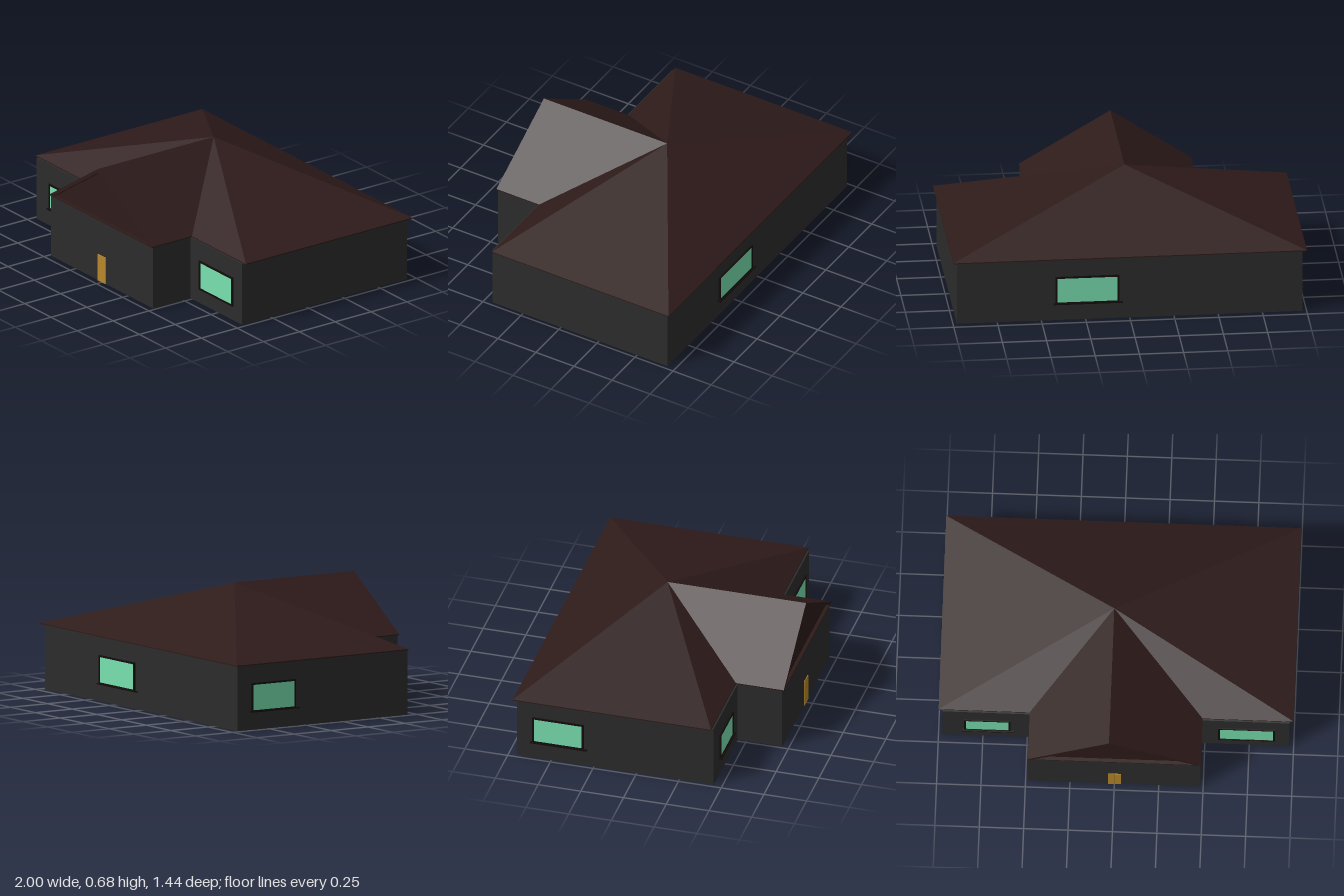
import * as THREE from 'three';

const mat = (color) => new THREE.MeshStandardMaterial({ color, flatShading: true, side: THREE.DoubleSide });

export function createModel() {
  const house = new THREE.Group();
  house.name = 'house';
  const wallMat = mat(0x2c2c2c);
  const roofMat = mat(0x2e1b1a);
  const trimMat = mat(0x130d0b);
  const glassMat = mat(0x78e0b0);
  const doorMat = mat(0xb8882a);

  const add = (name, geometry, material, parent = house) => {
    const mesh = new THREE.Mesh(geometry, material);
    mesh.name = name;
    parent.add(mesh);
    return mesh;
  };
  const box = (name, w, h, d, x, y, z, material, parent) =>
    add(name, new THREE.BoxGeometry(w, h, d), material, parent).position.set(x, y, z);

  // T-shaped floor plan: main block with a front wing
  const plan = (halfW, back, front, wingW, wingFront, y, height) => {
    const pts = [[-halfW, back], [-halfW, front], [-wingW, front], [-wingW, wingFront],
      [wingW, wingFront], [wingW, front], [halfW, front], [halfW, back]];
    const shape = new THREE.Shape(pts.map(([x, z]) => new THREE.Vector2(x, -z)));
    return new THREE.ExtrudeGeometry(shape, { depth: height, bevelEnabled: false })
      .rotateX(-Math.PI / 2).translate(0, y, 0);
  };
  add('walls', plan(0.978, -0.7, 0.45, 0.485, 0.71, 0, 0.37), wallMat);
  add('eaves', plan(1, -0.72, 0.44, 0.487, 0.72, 0.37, 0.006), roofMat);

  // Roof: four slopes meeting at one peak, with a ridge running out over the wing
  const e = 0.376, top = 0.68, px = -0.03;
  const P = {
    peak: [px, top, -0.09], ridge: [px, top, 0.72],
    bl: [-1, e, -0.72], br: [1, e, -0.72], fl: [-1, e, 0.44], fr: [1, e, 0.44],
    vl: [-0.487, e, 0.44], vr: [0.487, e, 0.44], gl: [-0.487, e, 0.72], gr: [0.487, e, 0.72],
  };
  const faces = [
    ['peak', 'br', 'bl'], ['peak', 'bl', 'fl'], ['peak', 'fr', 'br'],
    ['peak', 'fl', 'vl'], ['peak', 'vr', 'fr'],
    ['peak', 'vl', 'gl'], ['peak', 'gl', 'ridge'],
    ['peak', 'ridge', 'gr'], ['peak', 'gr', 'vr'],
  ];
  const roof = new THREE.BufferGeometry();
  roof.setAttribute('position', new THREE.Float32BufferAttribute(faces.flat().flatMap((k) => P[k]), 3));
  roof.computeVertexNormals();
  add('roof', roof, roofMat);

  // Gable end: recessed panel framed by barge boards
  const triangle = (cls, inset) => new cls([
    new THREE.Vector2(-0.487 + inset * 3, e), new THREE.Vector2(0.487 - inset * 3, e),
    new THREE.Vector2(px, top - inset * 1.2)]);
  add('gablePanel', new THREE.ShapeGeometry(triangle(THREE.Shape, 0)).translate(0, 0, 0.7), roofMat);
  const boards = new THREE.Shape([
    [-0.487, e], [-0.45, e], [px, top - 0.025], [0.45, e], [0.487, e], [px, top],
  ].map(([x, y]) => new THREE.Vector2(x, y)));
  add('bargeBoards', new THREE.ExtrudeGeometry(boards, { depth: 0.018, bevelEnabled: false })
    .translate(0, 0, 0.702), roofMat);

  // Window facing +z in its own frame: pane, four frame bars and an optional sill
  const addWindow = (name, w, h, sill, x, y, z, turn) => {
    const g = new THREE.Group();
    g.name = name;
    box('pane', w, h, 0.006, 0, 0, 0, glassMat, g);
    const t = 0.01;
    for (const s of [-1, 1]) {
      box('frameSide', t, h + t, 0.014, s * w / 2, 0, 0, trimMat, g);
      box('frameRail', w + t, t, 0.014, 0, s * h / 2, 0, trimMat, g);
    }
    if (sill) box('sill', w + 0.04, 0.006, 0.03, 0.005, -h / 2 - 0.003, 0, trimMat, g);
    g.position.set(x, y, z);
    g.rotation.y = turn;
    house.add(g);
  };
  addWindow('frontLeftWindow', 0.31, 0.165, false, 0.735, 0.172, 0.451, 0);
  addWindow('frontRightWindow', 0.25, 0.145, true, -0.725, 0.177, 0.451, 0);
  addWindow('backWindow', 0.35, 0.155, true, 0.24, 0.18, -0.701, Math.PI);
  addWindow('sideWindow', 0.29, 0.155, true, -0.979, 0.183, -0.46, -Math.PI / 2);

  // Double door in the wing
  for (const s of [-1, 1]) box('doorLeaf', 0.036, 0.16, 0.008, s * 0.0185, 0.08, 0.71, doorMat);

  return house;
}
